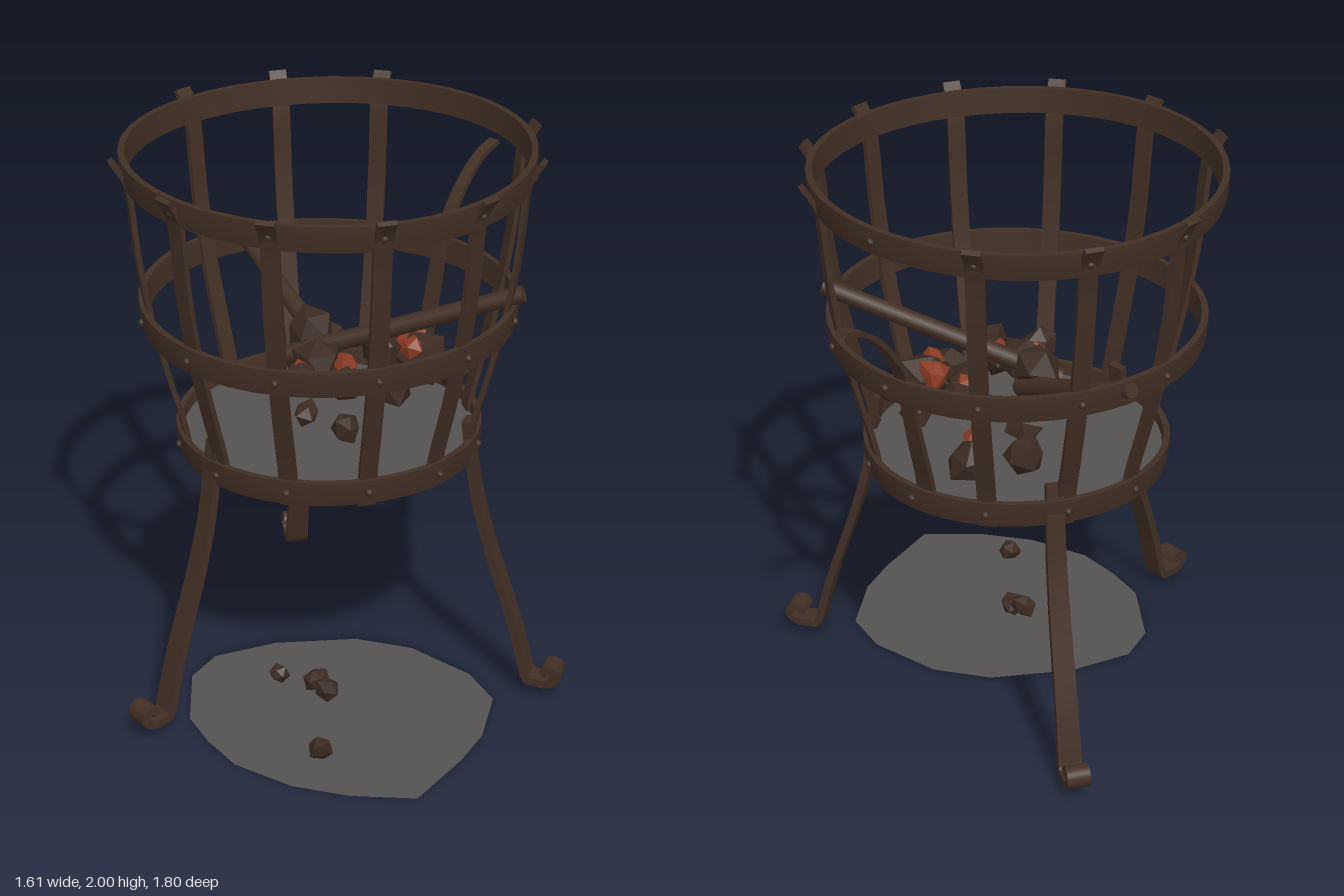
import * as THREE from 'three';
import { toCreasedNormals } from 'three/addons/utils/BufferGeometryUtils.js';

const CX = -0.062, CZ = 0.035; // basket axis
const rad = THREE.MathUtils.degToRad;

function mat(name, color) {
  const m = new THREE.MeshStandardMaterial({ color });
  m.name = name;
  return m;
}

// Flat bar whose side profile [radius, height] is bent along a curve
function strapGeometry(points, width, thick, steps = 24, endWidth = width) {
  const curve = new THREE.SplineCurve(points.map(p => new THREE.Vector2(...p)));
  const a = [], b = [];
  for (let i = 0; i <= steps; i++) {
    const p = curve.getPoint(i / steps), t = curve.getTangent(i / steps);
    const n = new THREE.Vector2(-t.y, t.x).multiplyScalar(thick / 2);
    a.push(p.clone().add(n));
    b.unshift(p.clone().sub(n));
  }
  const g = new THREE.ExtrudeGeometry(new THREE.Shape([...a, ...b]), { depth: width, bevelEnabled: false });
  g.translate(0, 0, -width / 2);
  // taper the width with height
  const pos = g.attributes.position, y0 = points[0][1], y1 = points[points.length - 1][1];
  for (let i = 0; i < pos.count; i++) {
    const k = THREE.MathUtils.clamp((pos.getY(i) - y0) / (y1 - y0), 0, 1);
    pos.setZ(i, pos.getZ(i) * THREE.MathUtils.lerp(1, endWidth / width, k));
  }
  return toCreasedNormals(g, 0.6);
}

// Hammered hoop, slightly uneven in height
function hoopGeometry(rLow, rHigh, height, thick, phase) {
  const h = height / 2;
  const profile = [[rLow - thick, -h], [rLow, -h], [(rLow + rHigh) / 2 + 0.004, 0], [rHigh, h], [rHigh - thick, h], [rLow - thick, -h]]
    .map(p => new THREE.Vector2(...p));
  const g = new THREE.LatheGeometry(profile, 48);
  const pos = g.attributes.position;
  for (let i = 0; i < pos.count; i++) {
    const a = Math.atan2(pos.getZ(i), pos.getX(i));
    pos.setY(i, pos.getY(i) + 0.007 * Math.sin(2 * a + phase));
  }
  return toCreasedNormals(g, 0.6);
}

// Irregular lump; the offset depends on position so that corners stay joined
function lumpGeometry(r, seed) {
  const g = new THREE.IcosahedronGeometry(r, 0);
  const pos = g.attributes.position, v = new THREE.Vector3();
  for (let i = 0; i < pos.count; i++) {
    v.fromBufferAttribute(pos, i);
    const k = 1 + 0.17 * Math.sin((v.x * 5.1 + v.y * 3.7 + v.z * 7.3) / r + seed * 2.3);
    v.multiplyScalar(k);
    pos.setXYZ(i, v.x, v.y * 0.95, v.z);
  }
  g.rotateY(seed * 1.7).rotateX(seed);
  g.computeVertexNormals();
  return g;
}

export function createModel() {
  const group = new THREE.Group();
  const iron = mat('rusted iron', 0x412f24);
  const coal = mat('charred coal', 0x3a2a21);
  const ember = mat('glowing ember', 0x8a3a20);
  const ash = mat('ash grey', 0x555351);
  ash.side = THREE.DoubleSide;

  const basket = new THREE.Group();
  basket.name = 'basket';
  basket.position.set(CX, 0, CZ);
  group.add(basket);
  const add = (parent, name, geo, m) => {
    const mesh = new THREE.Mesh(geo, m);
    mesh.name = name;
    parent.add(mesh);
    return mesh;
  };

  // Hoops with rivets
  const hoops = [
    ['bottomHoop', 0.945, 0.525, 0.535, 0.09, 0.5],
    ['middleHoop', 1.415, 0.642, 0.65, 0.09, 2],
    ['topHoop', 1.942, 0.692, 0.7, 0.09, 4],
  ];
  const missing = 150;
  for (const [name, y, r0, r1, h, phase] of hoops) {
    add(basket, name, hoopGeometry(r0, r1, h, 0.022, phase), iron).position.y = y;
    for (let d = 0; d < 360; d += 30) {
      if (d === missing) continue;
      const a = rad(d), r = (r0 + r1) / 2 + 0.004;
      const rivet = add(basket, 'rivet', new THREE.SphereGeometry(0.014, 8, 6), iron);
      rivet.position.set(r * Math.cos(a), y + 0.007 * Math.sin(2 * a + phase), r * Math.sin(a));
    }
  }

  // Upright staves; the rear one is broken loose and bent outwards
  const upright = [[0.497, 0.89], [0.517, 1.02], [0.565, 1.2], [0.617, 1.42], [0.655, 1.65], [0.677, 1.88], [0.7, 1.95], [0.732, 2]];
  const bent = [[0.497, 0.89], [0.517, 1.02], [0.565, 1.2], [0.617, 1.42], [0.66, 1.52], [0.75, 1.635], [0.84, 1.705], [0.925, 1.735]];
  const staveGeo = strapGeometry(upright, 0.062, 0.018);
  for (let d = 0; d < 360; d += 30) {
    if (d === missing) continue;
    const rear = d === 270;
    const stave = add(basket, rear ? 'bentStave' : 'stave', rear ? strapGeometry(bent, 0.07, 0.018, 32, 0.042) : staveGeo, iron);
    stave.rotation.y = -rad(rear ? 265 : d);
  }

  // Three splayed legs with curled feet
  const legPath = [[0.505, 1.05], [0.525, 0.9], [0.55, 0.75], [0.605, 0.55], [0.685, 0.31], [0.73, 0.15], [0.752, 0.07],
    [0.785, 0.06], [0.83, 0.06], [0.862, 0.085], [0.855, 0.115], [0.825, 0.12], [0.812, 0.095]];
  const legGeo = strapGeometry(legPath, 0.06, 0.028, 60, 0.082);
  for (const d of [94.5, -145.4, -26]) add(basket, 'leg', legGeo, iron).rotation.y = -rad(d);

  // Grate bars and the ash bed over them
  for (const d of [30, 90, 150]) {
    const bar = add(basket, 'grateBar', new THREE.BoxGeometry(1.02, 0.016, 0.03), iron);
    bar.position.y = 0.925;
    bar.rotation.y = -rad(d);
  }
  add(basket, 'ashBed', new THREE.CircleGeometry(0.515, 48).rotateX(-Math.PI / 2), ash).position.y = 0.945;

  // Ash patch on the ground
  const patch = [[-0.3, 0.5], [-0.34, 0.35], [-0.25, 0.13], [-0.06, -0.1], [0.13, -0.2], [0.4, -0.22], [0.57, -0.16], [0.7, 0.04],
    [0.75, 0.2], [0.8, 0.47], [0.63, 0.62], [0.45, 0.72], [0.22, 0.77], [0.05, 0.74], [-0.1, 0.69]];
  const patchShape = new THREE.Shape(patch.map(([x, z]) => new THREE.Vector2(x, -z)));
  add(group, 'groundAsh', new THREE.ShapeGeometry(patchShape).rotateX(-Math.PI / 2), ash).position.y = 0.002;

  // Charred logs
  const log = (from, to, r0, r1) => {
    const a = new THREE.Vector3(...from), b = new THREE.Vector3(...to), d = b.clone().sub(a);
    const m = add(group, 'log', new THREE.CylinderGeometry(r1, r0, d.length(), 10), iron);
    m.position.copy(a).addScaledVector(d, 0.5);
    m.quaternion.setFromUnitVectors(new THREE.Vector3(0, 1, 0), d.normalize());
  };
  log([-0.13, 1.2, -0.02], [-0.71, 1.44, -0.145], 0.036, 0.026);
  log([-0.19, 1.2, 0.12], [0.49, 1.5, -0.345], 0.034, 0.03);

  // Coals in the basket: x, y, z, radius
  const coals = [
    [-0.33, 1.1, -0.23, 0.075], [-0.19, 1.07, -0.35, 0.085], [0.06, 1.16, -0.34, 0.055], [-0.03, 1.21, -0.23, 0.055],
    [0, 1.2, -0.16, 0.085], [0.16, 1.2, -0.2, 0.095], [0.25, 1.15, -0.26, 0.055], [0.2, 1.16, -0.02, 0.07],
    [-0.17, 1.27, 0.02, 0.085], [-0.04, 1.22, 0.1, 0.095], [0.09, 1.18, 0.12, 0.065], [0.01, 1.22, 0.24, 0.06],
    [0.11, 1.15, 0.31, 0.05], [0.27, 1.14, 0.28, 0.052], [-0.17, 1.08, -0.05, 0.07], [-0.16, 1.16, 0.06, 0.07],
  ];
  coals.forEach(([x, y, z, r], i) => add(group, 'coal', lumpGeometry(r, i + 1), coal).position.set(x, y, z));

  // Glowing embers between the coals
  const embers = [[0.1, 1.24, -0.21, 0.06], [0.16, 1.255, -0.15, 0.045], [-0.05, 1.2, 0.17, 0.05], [0.05, 1.23, 0.07, 0.05],
    [-0.01, 1.2, 0.2, 0.045], [-0.17, 1.13, -0.3, 0.045], [-0.03, 1.24, -0.19, 0.035]];
  embers.forEach(([x, y, z, r], i) => add(group, 'ember', lumpGeometry(r, i + 30), ember).position.set(x, y, z));

  // Coals fallen to the ground
  const fallen = [[-0.03, 0.055, 0.32, 0.034], [0.105, 0.065, 0.27, 0.05], [0.155, 0.05, 0.26, 0.045], [0.41, 0.052, 0.545, 0.042]];
  fallen.forEach(([x, y, z, r], i) => add(group, 'fallenCoal', lumpGeometry(r, i + 50), coal).position.set(x, y, z));

  return group;
}
